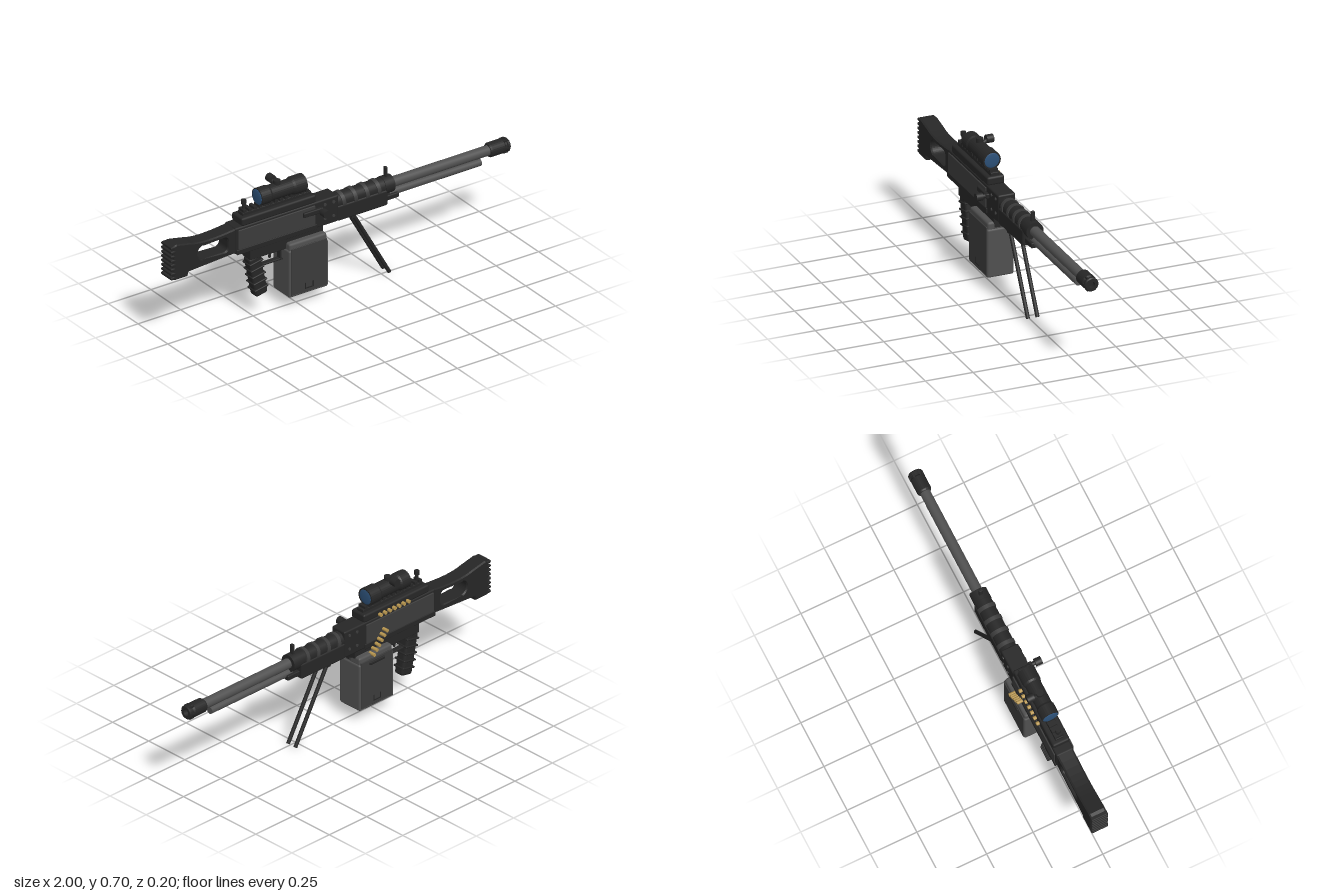
import * as THREE from 'three';
import { RoundedBoxGeometry } from 'three/addons/geometries/RoundedBoxGeometry.js';

export function createModel() {
  const mat = (name, color) => Object.assign(new THREE.MeshStandardMaterial({ color }), { name });
  const black = mat('black polymer', 0x262626);
  const dark = mat('dark steel', 0x3b3b3b);
  const grey = mat('grey steel', 0x505050);
  const brass = mat('brass', 0xb8964f);
  const blue = mat('blue glass', 0x2c5077);

  const root = new THREE.Group();
  root.name = 'machineGun';
  const gun = new THREE.Group(); // all z values below are relative to the bore axis
  gun.name = 'body';
  gun.position.z = -0.015;
  root.add(gun);

  const add = (name, geo, m, x = 0, y = 0, z = 0, parent = gun) => {
    const mesh = new THREE.Mesh(geo, m);
    mesh.name = name;
    mesh.position.set(x, y, z);
    parent.add(mesh);
    return mesh;
  };
  // box given by its x, y and z ranges
  const box = (name, m, x0, x1, y0, y1, z0, z1, r = 0.005) => {
    const s = [x1 - x0, y1 - y0, z1 - z0];
    const geo = r ? new RoundedBoxGeometry(...s, 1, r) : new THREE.BoxGeometry(...s);
    return add(name, geo, m, (x0 + x1) / 2, (y0 + y1) / 2, (z0 + z1) / 2);
  };
  // cylinder along x, y or z
  const rod = (name, m, axis, r, len, x, y, z = 0, sides = 24) => {
    const geo = new THREE.CylinderGeometry(r, r, len, sides);
    if (axis === 'x') geo.rotateZ(-Math.PI / 2);
    if (axis === 'z') geo.rotateX(Math.PI / 2);
    return add(name, geo, m, x, y, z);
  };
  // profile of [radius, x] pairs turned about the x axis
  const turned = (name, m, pts, x, y) => {
    const geo = new THREE.LatheGeometry(pts.map(p => new THREE.Vector2(...p)), 28);
    const geo2 = geo.toNonIndexed();
    geo2.rotateZ(-Math.PI / 2);
    geo2.computeVertexNormals();
    return add(name, geo2, m, x, y);
  };

  // Stock with rounded thumb opening
  const s = new THREE.Shape();
  s.moveTo(-0.975, 0.355);
  s.lineTo(-0.9, 0.355);
  s.lineTo(-0.895, 0.378);
  s.lineTo(-0.62, 0.395);
  s.lineTo(-0.62, 0.528);
  s.quadraticCurveTo(-0.8, 0.505, -0.88, 0.53);
  s.lineTo(-0.965, 0.547);
  s.lineTo(-0.985, 0.54);
  s.lineTo(-0.985, 0.36);
  const hole = new THREE.Path();
  hole.moveTo(-0.81, 0.42);
  hole.lineTo(-0.69, 0.42);
  hole.quadraticCurveTo(-0.665, 0.42, -0.665, 0.445);
  hole.lineTo(-0.665, 0.47);
  hole.quadraticCurveTo(-0.665, 0.497, -0.69, 0.497);
  hole.lineTo(-0.81, 0.497);
  hole.absarc(-0.803, 0.4585, 0.0385, Math.PI / 2, Math.PI * 1.5, false);
  s.holes.push(hole);
  const stockGeo = new THREE.ExtrudeGeometry(s, {
    depth: 0.07, bevelSize: 0.005, bevelThickness: 0.008, bevelOffset: -0.005, bevelSegments: 1, curveSegments: 8,
  });
  add('stock', stockGeo, black, 0, 0, -0.035);
  for (let i = 0; i < 8; i++) box('buttRib', black, -1, -0.97, 0.362 + i * 0.0235, 0.377 + i * 0.0235, -0.044, 0.044);

  // Receiver
  box('receiver', black, -0.625, -0.02, 0.39, 0.532, -0.046, 0.046, 0.008);
  for (const d of [-1, 1]) {
    const z0 = d > 0 ? 0.045 : -0.053;
    box('sidePanel', dark, -0.61, -0.16, 0.415, 0.52, z0, z0 + 0.008, 0.003);
    box('lowerRail', black, -0.62, -0.15, 0.388, 0.415, z0, z0 + 0.008, 0.003);
    for (const [x, y] of [[-0.1, 0.43], [-0.05, 0.43], [-0.1, 0.505], [-0.05, 0.505]])
      rod('pin', dark, 'z', 0.008, 0.006, x, y, d * 0.047, 12);
  }
  box('lowerReceiver', black, -0.53, -0.1, 0.325, 0.395, -0.035, 0.035);
  box('feedCover', black, -0.585, -0.15, 0.53, 0.573, -0.046, 0.046, 0.01);
  box('topRail', black, -0.565, -0.165, 0.57, 0.589, -0.022, 0.022, 0.003);
  for (let i = 0; i < 13; i++) box('railTooth', black, -0.56 + i * 0.0305, -0.543 + i * 0.0305, 0.588, 0.602, -0.022, 0.022, 0);
  rod('rearSightPost', black, 'y', 0.008, 0.06, -0.545, 0.62, 0, 12);
  rod('rearSightKnob', black, 'y', 0.013, 0.022, -0.545, 0.637, 0, 12);

  // Charging handle
  box('handleSlide', black, -0.235, -0.12, 0.477, 0.503, 0.046, 0.066);
  rod('handleStem', black, 'z', 0.011, 0.04, -0.135, 0.49, 0.07, 16);
  rod('handleKnob', black, 'z', 0.02, 0.034, -0.135, 0.49, 0.098);

  // Telescopic sight
  turned('scopeTube', black, [[0, -0.13], [0.039, -0.13], [0.045, -0.13], [0.045, -0.075], [0.04, -0.065],
    [0.04, 0.06], [0.046, 0.07], [0.046, 0.135], [0.039, 0.135], [0.039, 0.13], [0, 0.13]], -0.335, 0.638);
  for (const [x, d] of [[-0.202, 1], [-0.466, -1]]) {
    const lens = new THREE.SphereGeometry(0.04, 24, 8, 0, Math.PI * 2, 0, Math.PI / 2);
    lens.scale(1, 0.14, 1);
    lens.rotateZ(-d * Math.PI / 2);
    add('lens', lens, blue, x, 0.638);
  }
  for (const x of [-0.42, -0.25]) box('scopeMount', black, x - 0.02, x + 0.02, 0.585, 0.62, -0.022, 0.022);
  rod('topTurret', black, 'y', 0.018, 0.04, -0.35, 0.676);
  const stem = rod('sideTurretStem', black, 'z', 0.011, 0.05, -0.35, 0.672, -0.03, 16);
  stem.rotation.x = 0.4;
  rod('sideTurret', black, 'z', 0.021, 0.036, -0.35, 0.683, -0.051);

  // Handguard with bands
  box('handguardLower', black, -0.025, 0.27, 0.388, 0.47, -0.046, 0.046, 0.008);
  rod('handguardTube', black, 'x', 0.042, 0.3, 0.125, 0.478);
  for (let i = 0; i < 4; i++) {
    const band = rod('handguardBand', dark, 'x', 0.047, 0.02, 0.015 + i * 0.069, 0.478);
    band.rotation.z = 0.12;
  }
  rod('frontCollar', black, 'x', 0.045, 0.055, 0.288, 0.478);
  box('frontSight', black, 0.28, 0.294, 0.515, 0.573, -0.01, 0.01, 0.003);
  box('gasBlock', black, 0.255, 0.345, 0.403, 0.43, -0.032, 0.032);

  // Barrel, gas tube and muzzle
  rod('barrel', grey, 'x', 0.026, 0.6, 0.6, 0.478);
  rod('gasTube', grey, 'x', 0.019, 0.54, 0.57, 0.428);
  turned('muzzleBrake', black, [[0, 0], [0.032, 0], [0.037, 0.008], [0.037, 0.08], [0.031, 0.088], [0.031, 0.097],
    [0.036, 0.1], [0.036, 0.11], [0.031, 0.115], [0.017, 0.115], [0.017, 0.09], [0, 0.09]], 0.885, 0.478);
  for (let i = 0; i < 6; i++) {
    const a = i * Math.PI / 3;
    const rib = box('muzzleRib', black, 0.965, 0.992, 0.474, 0.482, -0.004, 0.004, 0);
    rib.position.set(0.978, 0.478 + Math.sin(a) * 0.034, Math.cos(a) * 0.034);
  }

  // Pistol grip with ribs
  const grip = new THREE.Group();
  grip.name = 'pistolGrip';
  grip.position.set(-0.475, 0.222, 0);
  grip.rotation.z = 0.2;
  gun.add(grip);
  add('gripCore', new RoundedBoxGeometry(0.072, 0.225, 0.058, 2, 0.014), black, 0, 0, 0, grip);
  for (let i = 0; i < 5; i++) add('gripRib', new RoundedBoxGeometry(0.082, 0.01, 0.068, 1, 0.004), black, 0, -0.072 + i * 0.038, 0, grip);

  // Trigger and guard
  box('guardBottom', black, -0.45, -0.32, 0.26, 0.27, -0.014, 0.014, 0.003);
  box('guardFront', black, -0.34, -0.33, 0.26, 0.33, -0.014, 0.014, 0.003);
  const trigger = box('trigger', black, -0.395, -0.385, 0.285, 0.335, -0.006, 0.006, 0.002);
  trigger.rotation.z = -0.2;

  // Ammunition box
  box('ammoBox', grey, -0.325, -0.095, 0.07, 0.325, -0.07, 0.07, 0.01);
  box('ammoLid', grey, -0.32, -0.1, 0.315, 0.36, -0.066, 0.066, 0.012);
  for (const d of [-1, 1]) {
    const z0 = d > 0 ? 0.066 : -0.072;
    box('boxPanel', dark, -0.315, -0.105, 0.082, 0.335, z0, z0 + 0.006, 0.002);
    box('boxLatch', black, -0.235, -0.185, 0.098, 0.104, d * 0.072 - 0.002, d * 0.072 + 0.002, 0);
    for (const x of [-0.235, -0.19]) box('latchSide', black, x, x + 0.005, 0.1, 0.13, d * 0.072 - 0.002, d * 0.072 + 0.002, 0);
  }
  box('boxClip', black, -0.26, -0.16, 0.306, 0.322, -0.079, -0.068, 0.004);

  // Belt of rounds and row on the cover
  for (let i = 0; i < 6; i++) rod('beltRound', brass, 'z', 0.0088, 0.036, -0.185 - i * 0.017, 0.356 + i * 0.0203, -0.065, 14);
  for (let i = 0; i < 7; i++) rod('coverRound', brass, 'z', 0.0095, 0.024, -0.25 - i * 0.031, 0.543, -0.05, 14);

  // Bipod
  for (const z of [-0.024, 0.026]) {
    const leg = rod('bipodLeg', black, 'y', 0.01, 0.45, 0.18, 0.207, z, 14);
    leg.rotation.z = Math.atan2(0.22, 0.39);
    rod('bipodHinge', black, 'z', 0.015, 0.024, 0.075, 0.39, z, 14);
  }
  return root;
}
